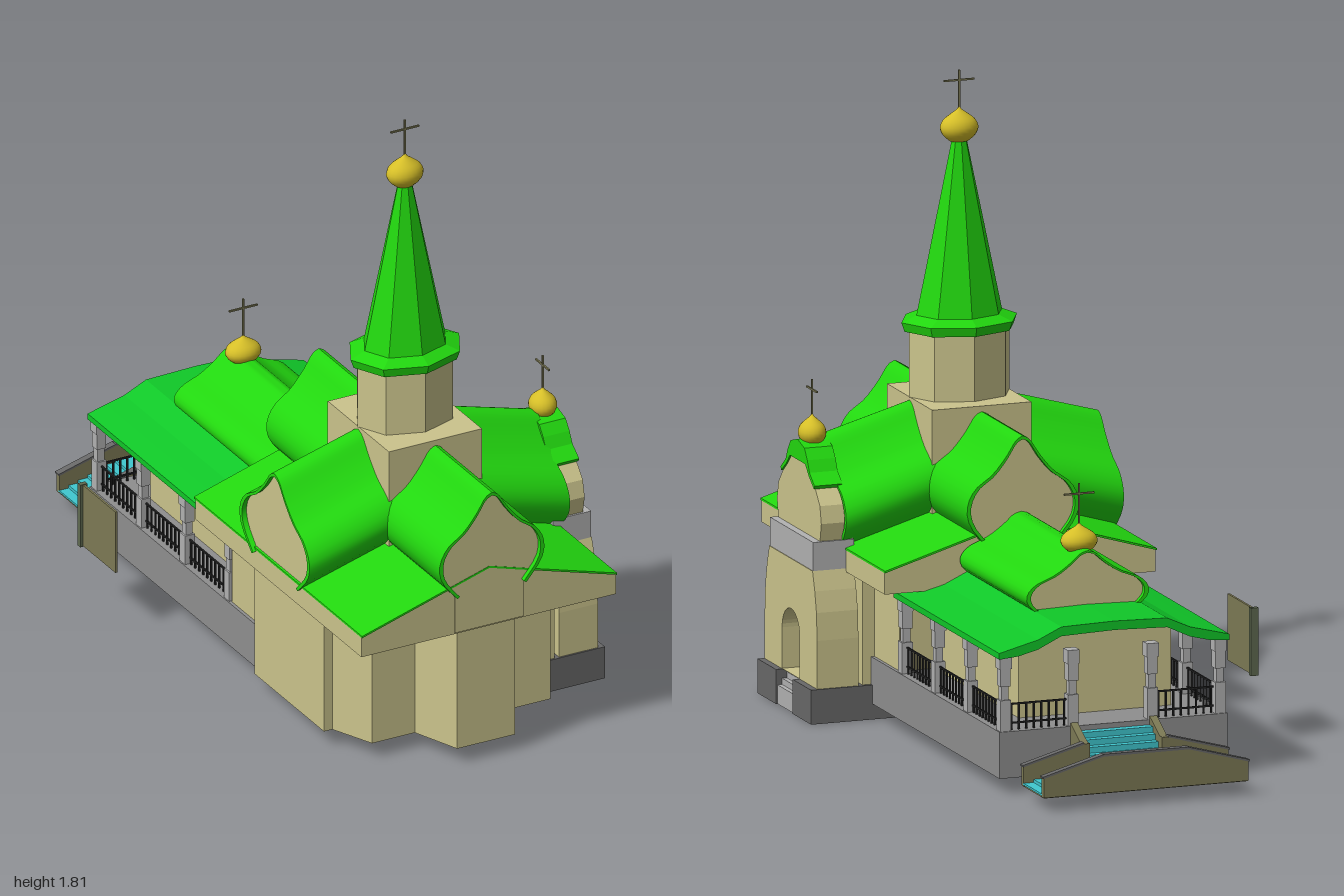
import * as THREE from 'three';
import { toCreasedNormals } from 'three/addons/utils/BufferGeometryUtils.js';

const CX = 0.014, CZ = 0.487; // plan centre of the tower
const TAN = 0xcbc48c, GREEN = 0x22d80f, ROOF2 = 0x10c828, GREY = 0x8f8f8f, DARK = 0x686868,
  LIGHT = 0xb2b2b2, GOLD = 0xd6bf28, CYAN = 0x40c8d0, OLIVE = 0x7d7a55, BLACK = 0x222222;

const mats = {};
const mat = (c) => (mats[c] ??= new THREE.MeshStandardMaterial({ color: c, side: THREE.DoubleSide }));

function add(parent, name, geo, color, x = 0, y = 0, z = 0) {
  const m = new THREE.Mesh(geo, mat(color));
  m.name = name;
  m.position.set(x, y, z);
  parent.add(m);
  return m;
}
function group(parent, name, x = 0, y = 0, z = 0) {
  const g = new THREE.Group();
  g.name = name;
  g.position.set(x, y, z);
  parent.add(g);
  return g;
}
// box given by its limits
const box = (p, name, color, x0, x1, y0, y1, z0, z1) =>
  add(p, name, new THREE.BoxGeometry(x1 - x0, y1 - y0, z1 - z0), color, (x0 + x1) / 2, (y0 + y1) / 2, (z0 + z1) / 2);
const shapeOf = (pts) => new THREE.Shape(pts.map(([x, y]) => new THREE.Vector2(x, y)));
const extrude = (shape, depth) => new THREE.ExtrudeGeometry(shape, { depth, bevelEnabled: false, curveSegments: 10 });
const mirror = (half) => [...half, ...half.slice().reverse().filter(([x]) => x !== 0).map(([x, y]) => [-x, y])];

// keel-shaped vault half profile, bottom to peak, in unit width and height
const KEEL = new THREE.SplineCurve([[0.66, 0], [0.95, 0.2], [1, 0.38], [0.85, 0.54], [0.55, 0.66], [0.3, 0.82],
  [0.13, 0.96], [0, 1]].map(([x, y]) => new THREE.Vector2(x, y))).getPoints(18).map((p) => [Math.abs(p.x) < 1e-6 ? 0 : p.x, p.y]);

// green vault shell with a slightly recessed tan filling, running along z
function vault(parent, name, w, h, len, color = GREEN, warp) {
  const g = group(parent, name);
  const outer = mirror(KEEL.map(([x, y]) => [x * w, y * h]));
  const inner = outer.map(([x, y]) => [x * 0.93, 0.35 * h + (y - 0.35 * h) * 0.95]);
  const shell = extrude(shapeOf([...outer, ...inner.slice().reverse()]), len);
  const fill = extrude(shapeOf(inner), len - 0.03).translate(0, 0, 0.015);
  for (const [n, geo, c] of [['Shell', shell, color], ['Gable', fill, TAN]]) {
    if (warp) warp(geo);
    add(g, name + n, toCreasedNormals(geo, 0.6), c);
  }
  return g;
}

// onion dome with a cross; sx and sz are the radii
function dome(parent, name, x, y, z, sx, sz, h, top, barAlongZ) {
  const g = group(parent, name, x, y, z);
  const prof = new THREE.SplineCurve([[0.5, 0], [0.85, 0.17], [1, 0.38], [0.85, 0.6], [0.45, 0.78], [0.15, 0.9], [0.03, 1]]
    .map(([a, b]) => new THREE.Vector2(a, b * h))).getPoints(16);
  add(g, 'onion', new THREE.LatheGeometry(prof, 20), GOLD).scale.set(sx, 1, sz);
  const t = 0.0025, e = top - y;
  box(g, 'crossUpright', OLIVE, -t, t, h * 0.9, e, -t, t);
  const a = barAlongZ ? t : 0.046, b = barAlongZ ? 0.04 : t;
  box(g, 'crossBar', OLIVE, -a, a, e - 0.032, e - 0.027, -b, b);
}

export function createModel() {
  const root = new THREE.Group();
  root.name = 'church';

  // hall walls with three stepped apses at the front
  const plan = mirror([[0.372, 0.28], [0.372, 0.69], [0.345, 0.69], [0.288, 0.82], [0.15, 0.82], [0.093, 0.965]]);
  add(root, 'hallWalls', extrude(shapeOf(plan.map(([x, z]) => [x, -z])), 0.375).rotateX(-Math.PI / 2), TAN, CX, 0.05, 0);
  box(root, 'rearHall', TAN, CX - 0.23, CX + 0.23, 0.17, 0.44, -0.59, 0.29);
  box(root, 'rearHallShoulder', TAN, CX - 0.335, CX + 0.335, 0.17, 0.43, 0.08, 0.29);

  // low gable over the hall
  const gable = [[-0.41, 0.425], [0.41, 0.425], [0.41, 0.49], [0, 0.612], [-0.41, 0.49]];
  add(root, 'hallGable', extrude(shapeOf(gable), 0.978), TAN, CX, 0, 0.002);
  for (const s of [-1, 1]) {
    const slope = shapeOf([[s * 0.411, 0.488], [0, 0.611], [0, 0.617], [s * 0.411, 0.494]]);
    add(root, 'hallRoofSlope', extrude(slope, 0.99), GREEN, CX, 0, -0.004);
  }

  // long vault and the two sloping cross vaults
  vault(root, 'longVault', 0.168, 0.312, 1.02).position.set(CX, 0.545, -0.02);
  box(root, 'longVaultBase', TAN, CX - 0.11, CX + 0.11, 0.43, 0.57, -0.005, 0.984);
  const droop = (geo) => {
    const p = geo.attributes.position;
    for (let i = 0; i < p.count; i++) p.setY(i, p.getY(i) - 0.28 * (p.getZ(i) - 0.04));
  };
  for (const s of [-1, 1]) {
    const v = vault(root, 'crossVault', 0.205, 0.312, 0.32, GREEN, droop);
    v.rotation.y = s * Math.PI / 2;
    v.position.set(CX + s * 0.1, 0.555, CZ);
  }

  // tower: block, octagonal drum, skirt and spire, all wider in x than in z
  box(root, 'towerBlock', TAN, CX - 0.15, CX + 0.15, 0.56, 0.873, CZ - 0.18, CZ + 0.18);
  const tower = group(root, 'tower', CX, 0, CZ);
  tower.scale.z = 0.8;
  const oct = (name, r0, r1, y0, y1, c) => {
    const geo = new THREE.CylinderGeometry(r1, r0, y1 - y0, 8).toNonIndexed();
    geo.computeVertexNormals();
    add(tower, name, geo, c, 0, (y0 + y1) / 2, 0);
  };
  oct('drum', 0.152, 0.152, 0.87, 1.07, TAN);
  oct('skirt', 0.165, 0.175, 1.063, 1.09, GREEN);
  oct('skirtTop', 0.175, 0.13, 1.09, 1.108, GREEN);
  oct('spire', 0.13, 0.02, 1.105, 1.62, GREEN);
  dome(root, 'towerDome', CX, 1.605, CZ, 0.056, 0.043, 0.1, 1.81, false);

  // gallery: plinth, bell-shaped roof, vault and dome
  box(root, 'galleryPlinth', GREY, CX - 0.345, CX + 0.345, 0.045, 0.18, -0.74, 0.29);
  const bell = [[0.348, 0.392], [0.348, 0.41], [0.29, 0.425], [0.23, 0.44], [0.16, 0.472], [0, 0.476]];
  const under = [[0, 0.45], [0.16, 0.445], [0.23, 0.412], [0.29, 0.397]];
  const roof = [...bell, ...bell.slice(0, -1).reverse().map(([x, y]) => [-x, y]),
    ...under.slice(1).reverse().map(([x, y]) => [-x, y]), ...under];
  add(root, 'galleryRoof', extrude(shapeOf(roof), 0.84), ROOF2, CX, 0, -0.745);
  vault(root, 'galleryVault', 0.184, 0.19, 0.53).position.set(CX, 0.445, -0.535);
  dome(root, 'galleryDome', CX, 0.617, -0.465, 0.054, 0.043, 0.085, 0.815, false);

  // gallery posts and railings
  const post = (x, z) => {
    const g = group(root, 'galleryPost', x, 0, z);
    for (const [w, y0, y1] of [[0.016, 0.18, 0.27], [0.011, 0.27, 0.31], [0.015, 0.31, 0.36], [0.018, 0.36, 0.4]])
      box(g, 'postSection', LIGHT, -w, w, y0, y1, -w, w);
  };
  const rail = (x0, z0, x1, z1) => {
    const g = group(root, 'railing'), n = Math.round(Math.hypot(x1 - x0, z1 - z0) / 0.024), t = 0.0025;
    for (const y of [0.2, 0.255])
      box(g, 'rail', BLACK, Math.min(x0, x1) - t, Math.max(x0, x1) + t, y - t, y + t, Math.min(z0, z1) - t, Math.max(z0, z1) + t);
    for (let i = 1; i < n; i++) {
      const x = x0 + (x1 - x0) * i / n, z = z0 + (z1 - z0) * i / n;
      box(g, 'baluster', BLACK, x - t, x + t, 0.18, 0.255, z - t, z + t);
    }
  };
  const zs = [0.06, -0.2, -0.458, -0.72];
  for (const s of [-1, 1]) {
    const x = CX + s * 0.325;
    zs.forEach((z, i) => {
      post(x, z);
      if (i) rail(x, zs[i - 1], x, z);
    });
    post(CX + s * 0.12, -0.72);
    rail(CX + s * 0.12, -0.72, x, -0.72);
  }

  // rear stairs: short flight to a landing, then steps down to both sides
  const stairs = group(root, 'rearStairs', CX, 0, 0);
  for (let i = 0; i < 4; i++)
    box(stairs, 'upperStep', CYAN, -0.115, 0.115, 0.045, 0.165 - i * 0.017, -0.765 - i * 0.022, -0.74 - i * 0.022);
  box(stairs, 'landing', CYAN, -0.13, 0.13, 0.045, 0.105, -0.985, -0.825);
  box(stairs, 'stairUnderside', OLIVE, -0.308, 0.308, 0.04, 0.048, -0.995, -0.825);
  for (const s of [-1, 1]) {
    for (let i = 0; i < 6; i++) {
      const a = s * (0.13 + i * 0.03), b = a + s * 0.03;
      box(stairs, 'sideStep', CYAN, Math.min(a, b), Math.max(a, b), 0.045, 0.096 - i * 0.009, -0.985, -0.835);
    }
    // parapets beside the flights
    const cheek = shapeOf([[0.74, 0.042], [0.84, 0.042], [0.84, 0.15], [0.82, 0.15], [0.74, 0.19]]);
    add(stairs, 'upperParapet', extrude(cheek, 0.022).rotateY(Math.PI / 2), OLIVE, s * 0.12 - 0.011, 0, 0);
    const inner = shapeOf([[s * 0.11, 0.042], [s * 0.31, 0.042], [s * 0.31, 0.1], [s * 0.13, 0.15], [s * 0.11, 0.15]]);
    add(stairs, 'innerParapet', extrude(inner, 0.018), OLIVE, 0, 0, -0.84);
    for (const z of [-0.99, -0.831]) {
      const cap = box(stairs, 'parapetCap', DARK, -0.096, 0.096, -0.003, 0.003, -0.011, 0.011);
      cap.position.set(s * 0.22, 0.126, z);
      cap.rotation.z = -s * 0.27;
    }
  }
  const outerWall = mirror([[0.31, 0.042], [0.31, 0.1], [0.13, 0.15]]);
  add(stairs, 'outerParapet', extrude(shapeOf(outerWall), 0.018), OLIVE, 0, 0, -0.999);
  box(stairs, 'outerParapetCap', DARK, -0.13, 0.13, 0.148, 0.155, -1, -0.979);

  // side porch: base with steps, arched doorway, band, keel gable and dome
  const porch = group(root, 'sidePorch', 0, 0, 0.482);
  box(porch, 'porchBase', DARK, 0.28, 0.5, 0, 0.1, -0.213, 0.213);
  for (const s of [-1, 1]) box(porch, 'porchBaseFlank', DARK, 0.5, 0.545, 0, 0.1, s * 0.14 - 0.073, s * 0.14 + 0.073);
  for (let i = 0; i < 3; i++)
    box(porch, 'porchStep', LIGHT, 0.48, 0.54 - i * 0.014, i ? 0.04 : 0, 0.055 + i * 0.018, -0.068, 0.068);
  const wall = shapeOf(mirror([[0.208, 0.1], [0.208, 0.24], [0.203, 0.32], [0.19, 0.38], [0.172, 0.435]]));
  const door = new THREE.Path();
  door.moveTo(-0.07, 0.101);
  door.lineTo(0.07, 0.101);
  door.lineTo(0.07, 0.22);
  door.absarc(0, 0.22, 0.07, 0, Math.PI, false);
  door.lineTo(-0.07, 0.101);
  wall.holes.push(door);
  add(porch, 'porchWall', extrude(wall, 0.125).rotateY(Math.PI / 2), TAN, 0.4, 0, 0);
  box(porch, 'porchBand', LIGHT, 0.4, 0.523, 0.43, 0.518, -0.172, 0.172);
  const ogee = [[0.165, 0.515], [0.176, 0.57], [0.165, 0.62], [0.13, 0.66], [0.09, 0.69], [0.068, 0.72], [0.06, 0.735]];
  add(porch, 'porchGable', extrude(shapeOf(mirror(ogee)), 0.1).rotateY(Math.PI / 2), TAN, 0.4, 0, 0);
  const cap = [[0.13, 0.662], [0.135, 0.672], [0.095, 0.702], [0.078, 0.735], [0.055, 0.765], [0, 0.78]];
  const capInner = [[0, 0.72], [0.06, 0.72], [0.09, 0.69]];
  const capPts = [...cap, ...cap.slice(0, -1).reverse().map(([x, y]) => [-x, y]),
    ...capInner.slice(1).reverse().map(([x, y]) => [-x, y]), ...capInner];
  add(porch, 'porchRoof', extrude(shapeOf(capPts), 0.085).rotateY(Math.PI / 2), GREEN, 0.42, 0, 0);
  dome(porch, 'porchDome', 0.461, 0.762, 0, 0.04, 0.045, 0.09, 0.95, true);

  // freestanding notice panel
  const sign = group(root, 'noticePanel');
  box(sign, 'panel', OLIVE, -0.543, -0.536, 0.2, 0.393, -0.4, -0.2);
  box(sign, 'panelPost', 0x5f6a50, -0.552, -0.529, 0.198, 0.395, -0.405, -0.39);
  return root;
}
